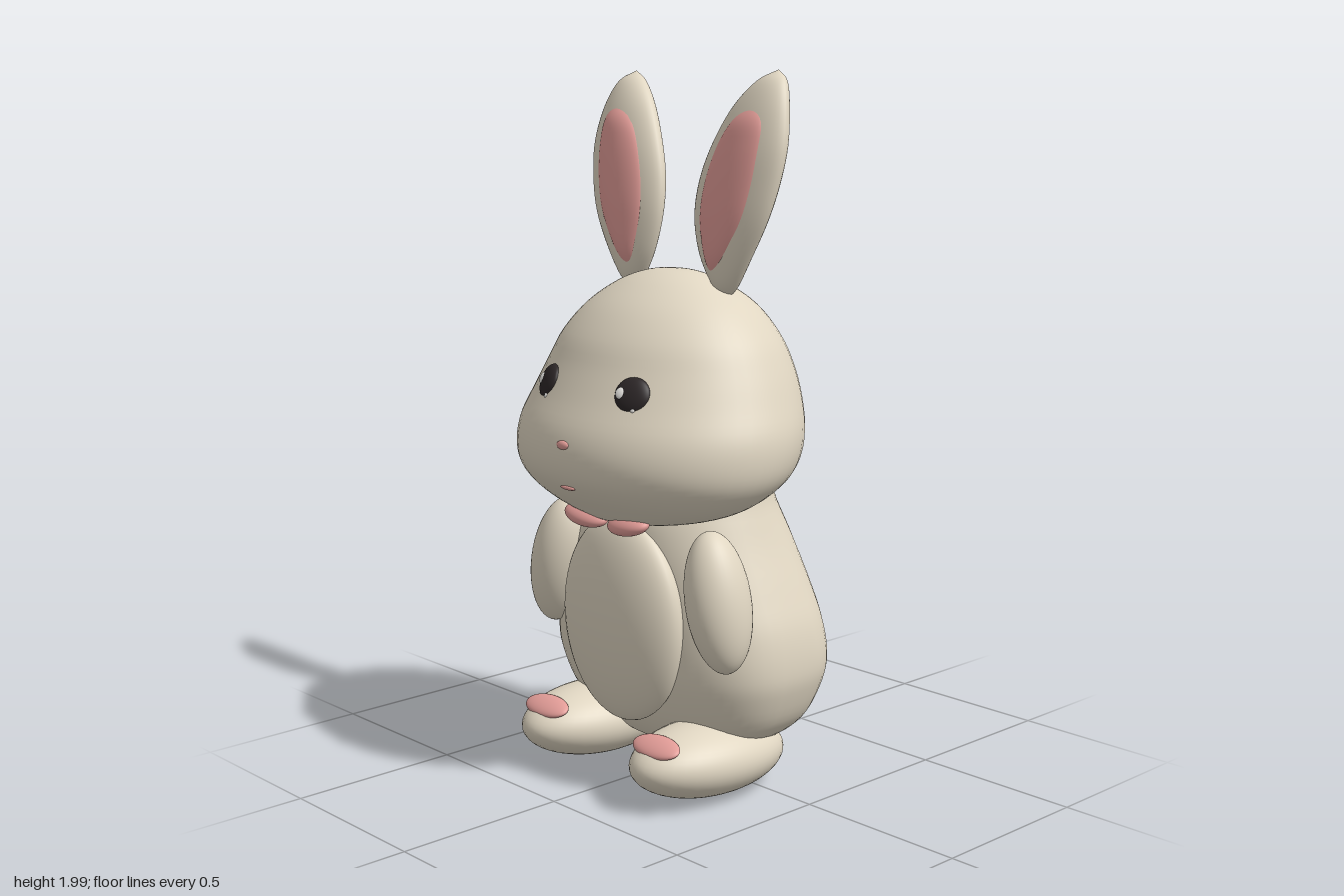
import * as THREE from 'three';

const mat = (name, color) => Object.assign(new THREE.MeshStandardMaterial({ color }), { name });

// Smooth closed skin through horizontal slices: [y, xMin, xMax, zBack, zFront, roundness]
function loft(slices, rings = 56, sides = 56) {
  const a = new THREE.CatmullRomCurve3(
    slices.map(([y, x0, x1]) => new THREE.Vector3(y, (x0 + x1) / 2, (x1 - x0) / 2)), false, 'catmullrom');
  const b = new THREE.CatmullRomCurve3(
    slices.map(([, , , z0, z1, n = 2]) => new THREE.Vector3((z0 + z1) / 2, (z1 - z0) / 2, n)), false, 'catmullrom');
  const pos = [], index = [];
  const power = (v, n) => Math.sign(v) * Math.abs(v) ** (2 / n);
  for (let i = 0; i <= rings; i++) {
    const p = a.getPoint(i / rings), q = b.getPoint(i / rings);
    const rx = Math.max(p.z, 0.0005), rz = Math.max(q.y, 0.0005);
    for (let j = 0; j < sides; j++) {
      const t = (j / sides) * Math.PI * 2;
      pos.push(p.y + rx * power(Math.cos(t), q.z), p.x, q.x + rz * power(Math.sin(t), q.z));
      if (i === rings) continue;
      const k = i * sides + j, l = i * sides + (j + 1) % sides;
      index.push(k, k + sides, l, l, k + sides, l + sides);
    }
  }
  const g = new THREE.BufferGeometry();
  g.setAttribute('position', new THREE.Float32BufferAttribute(pos, 3));
  g.setIndex(index);
  g.computeVertexNormals();
  return g;
}

// Slices that are symmetric about x = 0: [y, halfWidth, zBack, zFront, roundness]
const symmetric = rows => loft(rows.map(([y, w, ...rest]) => [y, -w, w, ...rest]));

export function createModel() {
  const model = new THREE.Group();
  model.name = 'rabbit';
  const fur = mat('cream fur', 0xe0d6c2);
  const pink = mat('soft pink', 0xe39d98);
  const black = mat('eye black', 0x2c2627);
  const white = mat('eye highlight', 0xf4f2ee);

  const add = (name, geometry, material) => {
    const m = new THREE.Mesh(geometry, material);
    m.name = name;
    model.add(m);
    return m;
  };
  const ball = (name, material, p, r, rot = [0, 0, 0]) => {
    const m = add(name, new THREE.SphereGeometry(1, 40, 28), material);
    m.position.set(...p);
    m.scale.set(...r);
    m.rotation.set(...rot);
    return m;
  };

  // Pear-shaped body, squarer around the hips
  add('body', symmetric([
    [0.075, 0, -0.03, -0.03, 2.3], [0.09, 0.16, -0.11, 0.1, 2.4], [0.13, 0.29, -0.17, 0.16, 2.6],
    [0.2, 0.385, -0.225, 0.205, 2.7], [0.3, 0.43, -0.265, 0.235, 2.8], [0.38, 0.44, -0.28, 0.245, 2.8],
    [0.48, 0.425, -0.28, 0.25, 2.6], [0.58, 0.385, -0.275, 0.255, 2.4], [0.7, 0.33, -0.26, 0.26, 2.2],
    [0.8, 0.29, -0.235, 0.25], [0.9, 0.25, -0.2, 0.2], [0.98, 0.1, -0.1, 0.1], [1, 0, 0, 0],
  ]), fur);
  ball('belly', fur, [0, 0.482, 0.24], [0.235, 0.297, 0.09]);
  ball('tail', fur, [0, 0.375, -0.288], [0.172, 0.172, 0.172]);

  // Head with wide cheeks and a forward muzzle
  add('head', symmetric([
    [0.765, 0, 0.2, 0.2], [0.77, 0.14, 0.08, 0.29], [0.79, 0.25, 0.03, 0.33], [0.82, 0.34, -0.05, 0.37],
    [0.86, 0.4, -0.13, 0.415], [0.91, 0.44, -0.2, 0.45], [0.97, 0.455, -0.24, 0.46],
    [1.04, 0.45, -0.255, 0.445], [1.12, 0.42, -0.258, 0.405], [1.2, 0.385, -0.245, 0.365],
    [1.28, 0.34, -0.215, 0.325], [1.36, 0.265, -0.16, 0.26], [1.42, 0.17, -0.08, 0.18],
    [1.45, 0.08, -0.01, 0.11], [1.457, 0, 0.05, 0.05],
  ]), fur);
  ball('nose', pink, [0, 1.005, 0.452], [0.025, 0.013, 0.01]);
  ball('mouth', pink, [0, 0.885, 0.437], [0.03, 0.006, 0.006]);

  // Ear and its lining for the +x side
  const earRows = [
    [1.38, 0.19, 0.19, 0.02, 0.02], [1.42, 0.15, 0.23, -0.005, 0.06], [1.5, 0.1, 0.285, -0.012, 0.073],
    [1.6, 0.072, 0.34, -0.022, 0.072], [1.7, 0.077, 0.37, -0.04, 0.062], [1.8, 0.11, 0.38, -0.058, 0.045],
    [1.9, 0.165, 0.362, -0.075, 0.015], [1.97, 0.23, 0.33, -0.085, -0.025], [2, 0.285, 0.285, -0.075, -0.075],
  ];
  const liningRows = [
    [1.435, 0.17, 0.17, 0.055, 0.055], [1.5, 0.14, 0.228, 0.025, 0.082], [1.6, 0.12, 0.285, 0.025, 0.083],
    [1.7, 0.127, 0.315, 0.01, 0.073], [1.8, 0.16, 0.325, -0.005, 0.056], [1.87, 0.205, 0.317, -0.02, 0.035],
    [1.92, 0.275, 0.275, -0.01, -0.01],
  ];
  const flip = (rows, s) => s > 0 ? rows : rows.map(([y, a, b, ...z]) => [y, -b, -a, ...z]);

  for (const s of [1, -1]) {
    const side = s > 0 ? 'left' : 'right';
    add(side + 'Ear', loft(flip(earRows, s), 40, 40), fur);
    add(side + 'EarLining', loft(flip(liningRows, s), 32, 32), pink);

    // Eyes with two highlights on the same side of each pupil
    ball(side + 'Eye', black, [s * 0.173, 1.15, 0.354], [0.052, 0.05, 0.02], [-0.4, s * 0.37, 0]);
    ball(side + 'EyeHighlight', white,
      [s * 0.173 - 0.023, 1.157, s > 0 ? 0.378 : 0.362], [0.014, 0.016, 0.006], [-0.4, s * 0.37, 0]);
    ball(side + 'EyeGlint', white,
      [s * 0.173 + 0.018, 1.115, s > 0 ? 0.371 : 0.384], [0.007, 0.007, 0.004], [-0.4, s * 0.37, 0]);

    // Bow under the chin
    ball(side + 'BowLoop', pink, [s * 0.088, 0.775, 0.297], [0.08, 0.027, 0.042], [0.4, 0, s * 0.12]);

    // Arms and feet
    ball(side + 'Arm', fur, [s * 0.33, 0.583, 0.188], [0.088, 0.196, 0.094], [0, 0, s * 0.2]);
    ball(side + 'Foot', fur, [s * 0.235, 0.112, 0.135], [0.149, 0.106, 0.265], [-0.05, 0, 0]);
    ball(side + 'ToePad', pink, [s * 0.235, 0.184, 0.33], [0.086, 0.018, 0.042], [0.45, 0, 0]);
  }
  return model;
}
